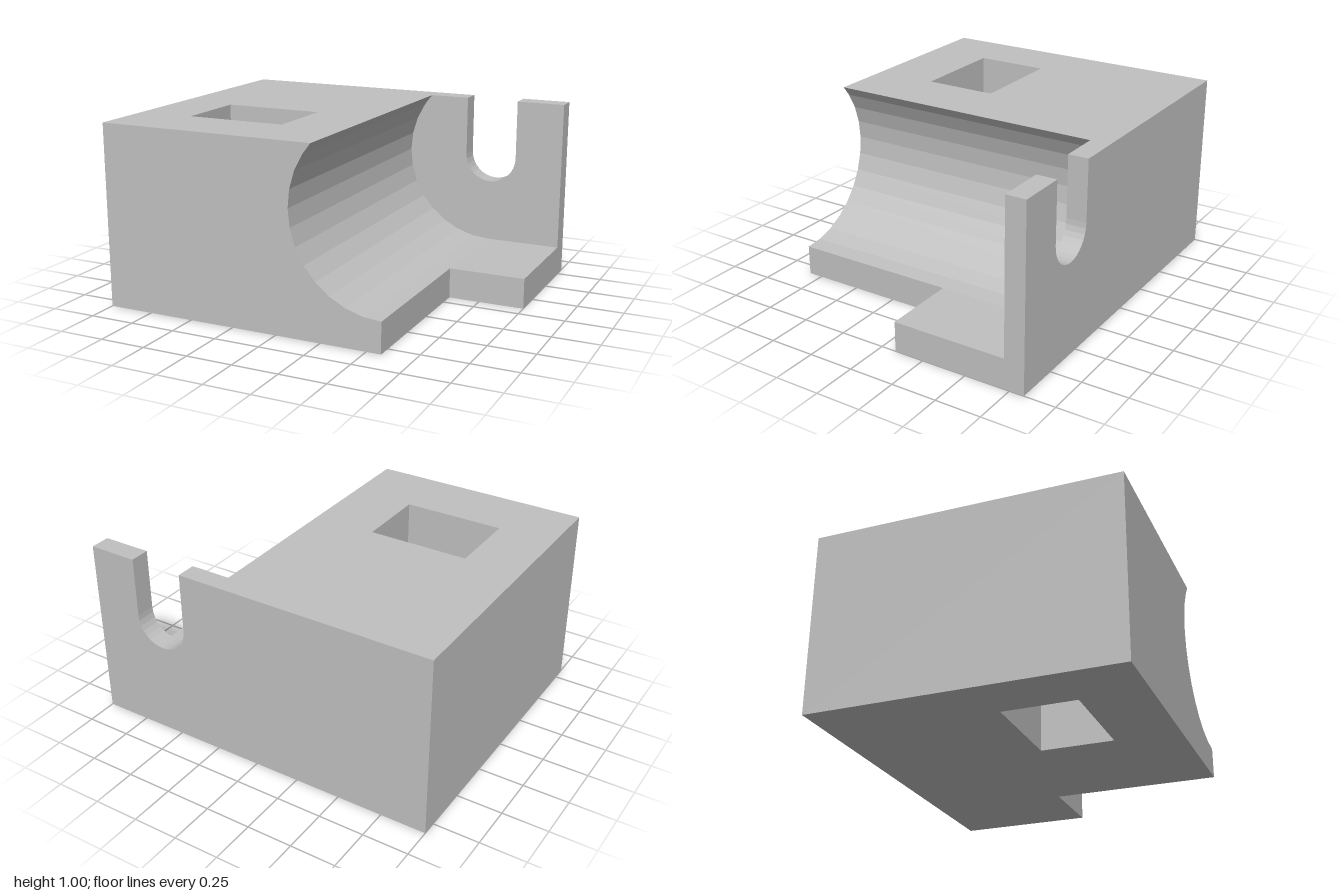
import * as THREE from 'three';
import { mergeGeometries } from 'three/addons/utils/BufferGeometryUtils.js';

// Key planes of the block
const BACK = -0.83, WALL = -0.72, FRONT = 0.83, TAB = -0.085;
const FLOOR = 0.167, CX = 0.58, CY = 0.667, LIP = 0.207;
const S0 = 0.43, S1 = 0.73;
const WINDOW = { x0: -0.69, x1: -0.14, z0: 0.08, z1: 0.48 };

const rect = (u0, v0, u1, v1) => [[u0, v0], [u1, v0], [u1, v1], [u0, v1]];

const arc = (r, from, to, n) => Array.from({ length: n + 1 }, (_, i) => {
  const a = THREE.MathUtils.degToRad(from + (to - from) * i / n);
  return [CX + r * Math.cos(a), CY + r * Math.sin(a)];
});

// Flat face on an axis plane: z takes (x, y), y takes (x, z), x takes (z, y)
function face(axis, at, sign, points, hole) {
  const toVectors = list => list.map(([u, v]) => new THREE.Vector2(u, v));
  const shape = new THREE.Shape(toVectors(points));
  if (hole) shape.holes.push(new THREE.Path(toVectors(hole)));
  const geo = new THREE.ShapeGeometry(shape).toNonIndexed();
  const pos = geo.attributes.position;
  const place = {
    x: (u, v) => [at, v, u],
    y: (u, v) => [u, at, v],
    z: (u, v) => [u, v, at],
  }[axis];
  const corners = [];
  const flip = sign !== (axis === 'z' ? 1 : -1);
  for (let i = 0; i < pos.count; i += 3) {
    for (const k of flip ? [0, 2, 1] : [0, 1, 2]) {
      corners.push(...place(pos.getX(i + k), pos.getY(i + k)));
    }
  }
  return facets(corners);
}

// Faceted strip along z; the solid lies to the left of the path
function strip(path, z0, z1) {
  const corners = [];
  for (let i = 0; i < path.length - 1; i++) {
    const a = path[i], b = path[i + 1];
    corners.push(...a, z0, ...b, z0, ...b, z1, ...a, z0, ...b, z1, ...a, z1);
  }
  return facets(corners);
}

function facets(corners) {
  const geo = new THREE.BufferGeometry();
  geo.setAttribute('position', new THREE.Float32BufferAttribute(corners, 3));
  geo.computeVertexNormals();
  return geo;
}

export function createModel() {
  const model = new THREE.Group();
  model.name = 'slottedBlock';
  const grey = new THREE.MeshStandardMaterial({ color: 0xc0c0c0 });
  grey.name = 'plain grey';

  const add = (name, ...faces) => {
    const mesh = new THREE.Mesh(mergeGeometries(faces), grey);
    mesh.name = name;
    model.add(mesh);
  };

  // Channel runs from the floor up and round to the overhanging lip
  const channel = [[CX, FLOOR], ...arc(0.5, 258.75, 146.25, 10), [LIP, 1]];
  const slot = [[S1, 1], ...arc(0.15, 0, -180, 16), [S0, 1]];
  const { x0, x1, z0, z1 } = WINDOW;
  const opening = rect(x0, z0, x1, z1);

  add('mainBlock',
    face('z', FRONT, 1, [[-1, 0], [CX, 0], ...channel, [-1, 1]]),
    face('x', -1, -1, rect(BACK, 0, FRONT, 1)),
    face('y', 1, 1, [[-1, BACK], [S0, BACK], [S0, WALL], [LIP, WALL],
      [LIP, FRONT], [-1, FRONT]], opening),
    face('y', 0, -1, [[-1, BACK], [1, BACK], [1, TAB], [CX, TAB],
      [CX, FRONT], [-1, FRONT]], opening),
    face('x', CX, 1, rect(TAB, 0, FRONT, FLOOR)));

  add('curvedChannel', strip(channel, WALL, FRONT));

  // Rectangular shaft through the block
  add('windowShaft',
    face('x', x0, 1, rect(z0, 0, z1, 1)),
    face('x', x1, -1, rect(z0, 0, z1, 1)),
    face('z', z0, 1, rect(x0, 0, x1, 1)),
    face('z', z1, -1, rect(x0, 0, x1, 1)));

  // Thin end wall with an open U slot
  add('endWall',
    face('z', BACK, -1, [[-1, 0], [1, 0], [1, 1], ...slot, [-1, 1]]),
    face('z', WALL, 1, [[1, FLOOR], [1, 1], ...slot, ...channel.slice().reverse()]),
    face('y', 1, 1, rect(S1, BACK, 1, WALL)),
    face('x', 1, 1, [[BACK, 0], [TAB, 0], [TAB, FLOOR], [WALL, FLOOR],
      [WALL, 1], [BACK, 1]]));

  add('slotLining', strip(slot, BACK, WALL));

  // Floor tab beside the channel
  add('floorTab',
    face('y', FLOOR, 1, rect(CX, WALL, 1, TAB)),
    face('z', TAB, 1, rect(CX, 0, 1, FLOOR)));

  return model;
}
